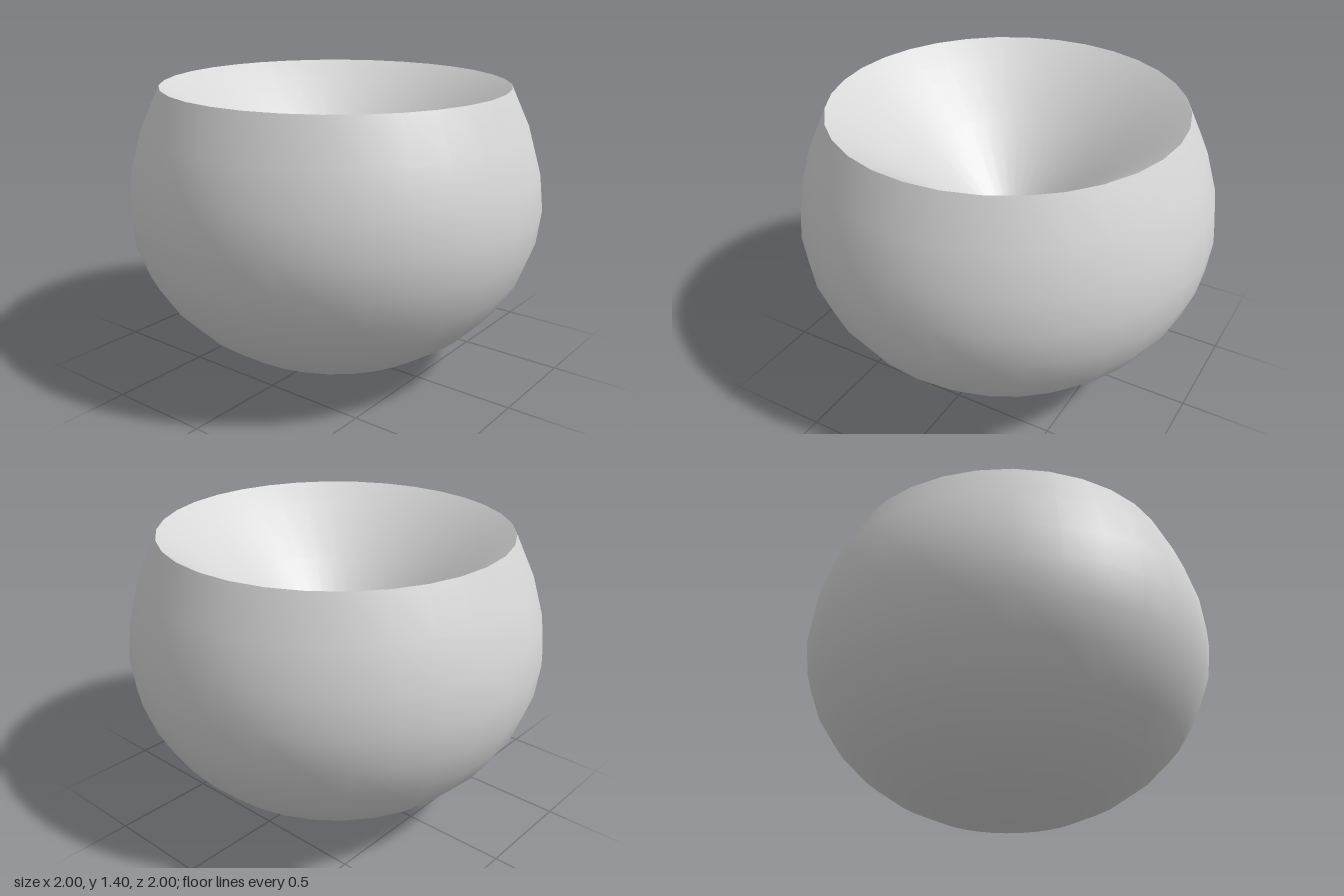
import * as THREE from 'three';

const SEGMENTS = 32;

export function createModel() {
  const group = new THREE.Group();
  group.name = 'bowl';
  const grey = new THREE.MeshStandardMaterial({ color: 0xd6d6d6 });
  grey.name = 'light grey';

  // Turn a profile of [radius, height] points around the y axis
  const turn = (name, points) => {
    const profile = points.map(([r, y]) => new THREE.Vector2(r, y));
    const mesh = new THREE.Mesh(new THREE.LatheGeometry(profile, SEGMENTS), grey);
    mesh.name = name;
    group.add(mesh);
  };

  // Outer shell: rounded lower half, then a slightly taller shoulder up to the rim
  const outer = [];
  for (let i = 0; i <= 8; i++) {
    const a = (i * Math.PI) / 16;
    outer.push([Math.sin(a), 0.84 * (1 - Math.cos(a))]);
  }
  outer.push([0.98, 1.01], [0.924, 1.2], [0.831, 1.4]);
  turn('outerShell', outer);

  // Hollow: a shallow funnel that steepens a little towards its floor
  turn('funnel', [[0.831, 1.4], [0.72, 1.32], [0.45, 1.1], [0.13, 0.8]]);

  // Small flat floor of the funnel
  turn('floor', [[0.13, 0.8], [0, 0.8]]);

  return group;
}
